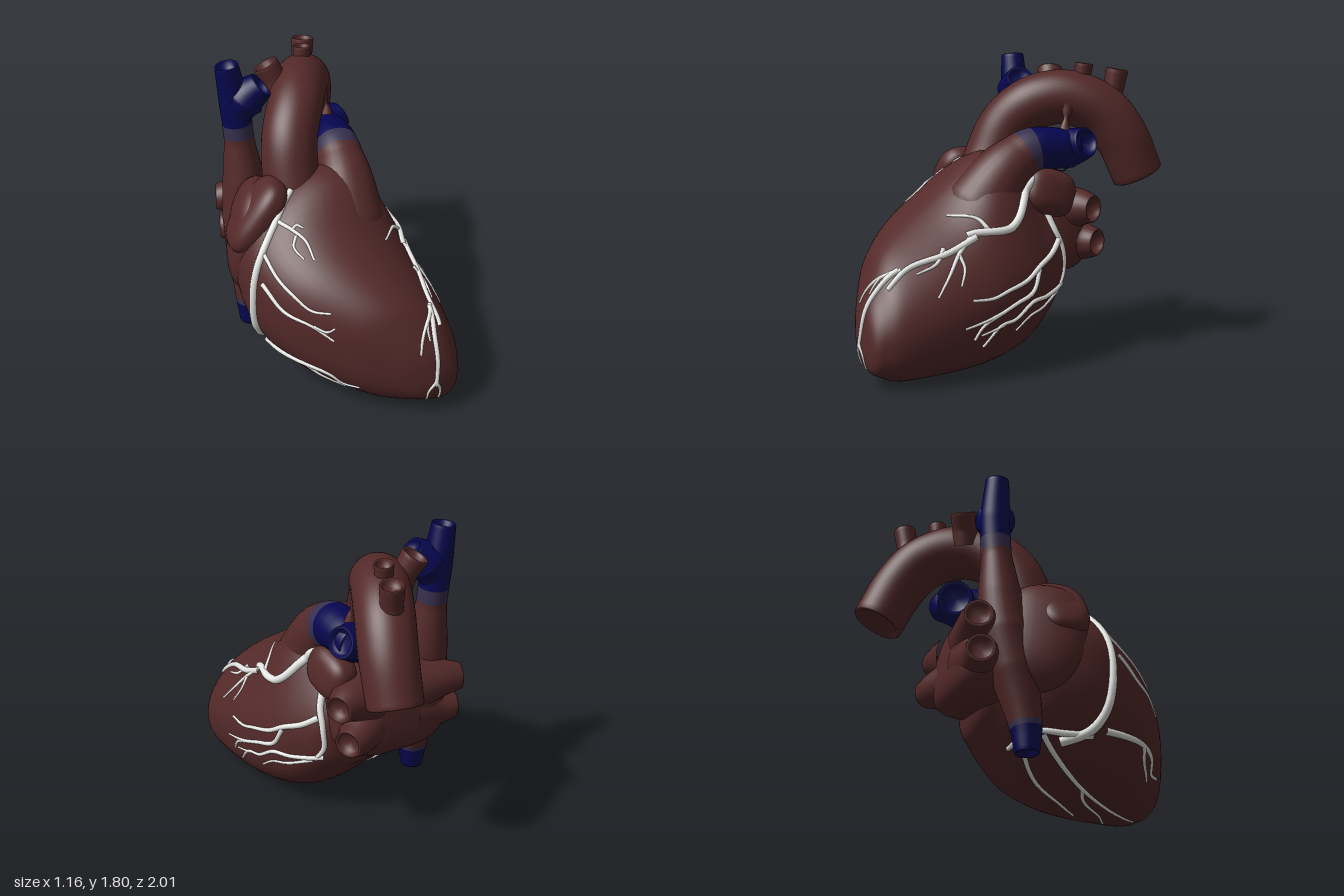
import * as THREE from 'three';

const V = (x, y, z) => new THREE.Vector3(x, y, z);
const mat = (name, color) => {
  const m = new THREE.MeshStandardMaterial({ color });
  m.name = name;
  return m;
};

// Skins a stack of closed rings, each counterclockwise around the stacking direction.
function skin(rings) {
  const n = rings[0].length, index = [];
  for (let i = 0; i < rings.length - 1; i++)
    for (let j = 0; j < n; j++) {
      const k = (j + 1) % n, a = i * n + j, b = i * n + k, c = a + n, d = b + n;
      index.push(a, b, c, b, d, c);
    }
  const g = new THREE.BufferGeometry().setFromPoints(rings.flat());
  g.setIndex(index);
  g.computeVertexNormals();
  return g;
}

// Tapered tube along a smooth path; t0..t1 picks a stretch, open ends (s, e) get a rim and a recess.
function vessel(pts, radii, { t0 = 0, t1 = 1, open = '', depth = 0.035, n = 40, sides = 28 } = {}) {
  const curve = new THREE.CatmullRomCurve3(pts.map(p => (p.isVector3 ? p : V(...p))));
  const frames = curve.computeFrenetFrames(n, false);
  const ring = (i, scale = 1, shift = 0) => {
    const f = (i / n) * (radii.length - 1), k = Math.min(Math.floor(f), radii.length - 2);
    const r = scale * THREE.MathUtils.lerp(radii[k], radii[k + 1], f - k);
    const c = curve.getPointAt(i / n).addScaledVector(frames.tangents[i], shift);
    return Array.from({ length: sides }, (_, j) => {
      const a = (j / sides) * Math.PI * 2;
      return c.clone().addScaledVector(frames.normals[i], r * Math.cos(a))
        .addScaledVector(frames.binormals[i], r * Math.sin(a));
    });
  };
  const i0 = Math.round(t0 * n), i1 = Math.round(t1 * n), rings = [];
  if (open.includes('s')) rings.push(ring(i0, 0, depth), ring(i0, 0.72, depth), ring(i0, 0.8), ring(i0, 0.95, -0.008));
  for (let i = i0; i <= i1; i++) rings.push(ring(i));
  if (open.includes('e')) rings.push(ring(i1, 0.95, 0.008), ring(i1, 0.8), ring(i1, 0.72, -depth), ring(i1, 0, -depth));
  return skin(rings);
}

// Rounded lump; power below 1 makes it boxier.
function blob(rx, ry, rz, power = 1) {
  const p = v => Math.sign(v) * Math.abs(v) ** power, rings = [];
  for (let i = 0; i <= 24; i++) {
    const u = (i / 24) * Math.PI - Math.PI / 2;
    rings.push(Array.from({ length: 36 }, (_, j) => {
      const a = (j / 36) * Math.PI * 2;
      return V(rx * p(Math.cos(u)) * p(Math.cos(a)), ry * p(Math.cos(u)) * p(Math.sin(a)), rz * p(Math.sin(u)));
    }));
  }
  return skin(rings);
}

// Ventricles: tilted ovals stacked from back to apex, full below and swelling up towards the outflow.
function ventricles() {
  const rows = [ // z, xMin, xMax, yMin, yMax
    [-0.36, 0, 0.01, 0.66, 0.67], [-0.33, -0.25, 0.27, 0.42, 0.93], [-0.25, -0.37, 0.38, 0.32, 1.0],
    [-0.13, -0.47, 0.45, 0.19, 1.06], [0, -0.53, 0.51, 0.1, 1.09], [0.2, -0.55, 0.56, 0.04, 1.06],
    [0.4, -0.49, 0.575, 0.015, 0.97], [0.6, -0.36, 0.57, 0.01, 0.86], [0.8, -0.14, 0.545, 0.02, 0.71],
    [0.9, 0.03, 0.51, 0.055, 0.56], [0.97, 0.19, 0.46, 0.1, 0.41], [1, 0.32, 0.33, 0.22, 0.23]];
  const xs = new THREE.CatmullRomCurve3(rows.map(r => V(r[1], r[2], r[0])), false, 'catmullrom');
  const ys = new THREE.CatmullRomCurve3(rows.map(r => V(r[3], r[4], 0)), false, 'catmullrom');
  const rings = [];
  for (let i = 0; i <= 55; i++) {
    const x = xs.getPoint(i / 55), y = ys.getPoint(i / 55);
    const rx = (x.y - x.x) / 2, ry = (y.y - y.x) / 2.06;
    const swell = 0.15 * Math.exp(-(((x.z - 0.08) / 0.26) ** 2));
    rings.push(Array.from({ length: 56 }, (_, j) => {
      const a = (j / 56) * Math.PI * 2, full = Math.sin(a) < 0 || Math.cos(a) < 0 ? 0.85 : 1;
      const c = Math.sign(Math.cos(a)) * Math.abs(Math.cos(a)) ** full;
      const s = Math.sign(Math.sin(a)) * Math.abs(Math.sin(a)) ** full;
      const top = Math.max(0, s) ** 4 * swell;
      return V((x.x + x.y) / 2 + rx * c + top * 0.9, (y.x + y.y) / 2 + ry * (s - (c > 0 ? 0.28 : 0.16) * c) + top, x.z);
    }));
  }
  return skin(rings);
}

export function createModel() {
  const heart = new THREE.Group();
  heart.name = 'heart';
  const muscle = mat('muscle brown', 0x542929), blue = mat('vein blue', 0x060650);
  const band = mat('band violet', 0x38304f), white = mat('artery white', 0xe6e6e4);
  const add = (name, geo, material, pos = [0, 0, 0], rot = [0, 0, 0]) => {
    const m = new THREE.Mesh(geo, material);
    m.name = name;
    m.position.set(...pos);
    m.rotation.set(...rot);
    heart.add(m);
    return m;
  };

  // Pumping chambers, running on into the pulmonary trunk
  const body = add('ventricles', ventricles(), muscle);
  const trunk = [[0.08, 0.6, 0.3], [0.13, 0.93, 0.13], [0.17, 1.13, -0.01], [0.19, 1.22, -0.14],
    [0.21, 1.235, -0.28], [0.22, 1.225, -0.42]];
  const trunkR = [0.2, 0.23, 0.23, 0.19, 0.145, 0.13, 0.11];
  const outflow = add('pulmonaryOutflow', vessel(trunk, trunkR, { t1: 0.7, n: 100 }), muscle);
  add('pulmonaryBand', vessel(trunk, trunkR, { t0: 0.7, t1: 0.76, n: 100 }), band);
  add('pulmonaryTrunk', vessel(trunk, trunkR, { t0: 0.76, open: 'e', n: 100 }), blue);
  add('leftPulmonaryBranch', vessel([[0.19, 1.22, -0.35], [0.26, 1.25, -0.42], [0.335, 1.275, -0.44]],
    [0.12, 0.11, 0.09], { open: 'e' }), blue);
  add('rightPulmonaryBranch', vessel([[0.22, 1.22, -0.36], [0.1, 1.2, -0.42], [-0.02, 1.165, -0.47]],
    [0.12, 0.115, 0.105], { open: 'e' }), blue);

  // Atria and their ear-shaped lobes
  add('rightAtrium', blob(0.16, 0.36, 0.27, 0.85), muscle, [-0.38, 0.8, -0.07], [0.1, -0.35, -0.1]);
  add('rightAuricle', blob(0.1, 0.25, 0.16, 0.75), muscle, [-0.4, 1.0, 0.04], [0, -0.1, -0.62]);
  add('leftAtrium', blob(0.37, 0.28, 0.2, 0.6), muscle, [-0.05, 0.73, -0.33], [0.12, 0, 0.06]);
  add('leftAuricle', blob(0.1, 0.14, 0.17, 0.75), muscle, [0.26, 0.98, -0.23], [-0.25, 0, 0.2]);

  // Lung veins, broad where they leave the atrium
  for (const [x, y, z] of [[0.37, 0.88, -0.47], [0.34, 0.67, -0.52], [-0.47, 0.85, -0.48], [-0.46, 0.65, -0.46]])
    add('lungVein', vessel([[x * 0.4, y * 0.8 + 0.15, -0.38], [x * 0.75, y, z + 0.04], [x, y, z]],
      [0.17, 0.125, 0.083], { open: 'e', n: 20 }), muscle);

  // Aorta with three branches and the small ligament below
  add('aorta', vessel([[-0.11, 0.85, 0.05], [-0.14, 1.15, -0.06], [-0.11, 1.36, -0.15], [-0.02, 1.49, -0.28],
    [0.08, 1.53, -0.45], [0.18, 1.455, -0.63], [0.24, 1.3, -0.75], [0.27, 1.06, -0.86]],
  [0.17, 0.17, 0.165, 0.165, 0.165, 0.162, 0.155], { open: 'e', depth: 0.015, n: 60, sides: 40 }), muscle);
  for (const [x0, y0, z0, x1, y1, z1, r] of [
    [-0.05, 1.52, -0.42, -0.13, 1.685, -0.47, 0.08], [0.12, 1.55, -0.53, 0.135, 1.725, -0.55, 0.055],
    [0.19, 1.45, -0.7, 0.215, 1.69, -0.735, 0.068]])
    add('archBranch', vessel([[x0, y0, z0], [x1, y1, z1]], [r * 1.15, r * 0.92, r], { open: 'e', n: 12 }), muscle);
  add('ligament', vessel([[0.22, 1.33, -0.36], [0.22, 1.4, -0.37], [0.19, 1.48, -0.4]], [0.04, 0.012, 0.05],
    { n: 12, sides: 12 }), muscle);

  // Great veins: one run from the top, past the atrium, to the bottom
  const cava = [[-0.41, 1.775, -0.36], [-0.37, 1.5, -0.355], [-0.355, 1.2, -0.33], [-0.35, 0.8, -0.28],
    [-0.37, 0.45, -0.2], [-0.385, 0.25, -0.165], [-0.39, 0.11, -0.16]];
  const cavaR = [0.07, 0.09, 0.09, 0.125, 0.15, 0.14, 0.105, 0.07];
  for (const [name, t0, t1, m, open] of [['upperVein', 0, 0.22, blue, 's'], ['upperBand', 0.22, 0.27, band, ''],
    ['veinTrunk', 0.27, 0.9, muscle, ''], ['lowerBand', 0.9, 0.92, band, ''], ['lowerVein', 0.92, 1, blue, 'e']])
    add(name, vessel(cava, cavaR, { t0, t1, open, n: 100 }), m);
  add('upperVeinBranch', vessel([[-0.365, 1.45, -0.355], [-0.315, 1.56, -0.335], [-0.225, 1.64, -0.31]],
    [0.08, 0.12, 0.085], { open: 'e' }), blue);

  // Coronary arteries: paths laid on the muscle by casting from the front (f), side (s), below (b) or inward (r)
  const ray = new THREE.Raycaster();
  const cast = {
    f: p => [V(p.x, p.y, 3), V(0, 0, -1)],
    s: p => [V(3, p.y, p.x), V(-1, 0, 0)],
    b: p => [V(p.x, -3, p.y), V(0, 1, 0)],
    r: p => {
      const d = V(p.x - 0.1, p.y - 0.5 + 0.2 * Math.max(0, p.z), 0).normalize();
      return [p.clone().addScaledVector(d, 2), d.negate()];
    },
  };
  heart.updateMatrixWorld(true);
  function artery(view, r0, r1, ...pts) {
    const flat = new THREE.CatmullRomCurve3(pts.map(p => V(p[0], p[1], p[2] ?? 0)));
    const path = [];
    for (const p of flat.getSpacedPoints(pts.length * 4)) {
      ray.set(...cast[view](p));
      const hit = ray.intersectObjects([body, outflow])[0];
      if (hit) path.push(hit.point);
    }
    if (path.length > 2)
      add('coronaryArtery', vessel(path, [r0, r1], { n: pts.length * 8, sides: 10 }), white);
  }
  // Front descending artery
  artery('s', 0.028, 0.022, [-0.15, 1.09], [-0.08, 1.05], [-0.02, 0.97], [0.05, 0.87], [0.12, 0.82], [0.33, 0.805], [0.38, 0.79]);
  artery('r', 0.022, 0.015, [0.44, 0.81, 0.33], [0.44, 0.73, 0.51], [0.38, 0.64, 0.72], [0.345, 0.5, 0.86]);
  artery('f', 0.018, 0.012, [0.36, 0.63], [0.335, 0.5], [0.33, 0.35], [0.32, 0.22]);
  artery('f', 0.011, 0.006, [0.32, 0.25], [0.28, 0.18], [0.28, 0.11]);
  artery('f', 0.011, 0.006, [0.32, 0.24], [0.35, 0.18], [0.355, 0.1]);
  artery('f', 0.015, 0.007, [0.37, 0.63], [0.29, 0.57], [0.25, 0.51], [0.23, 0.44]);
  artery('f', 0.009, 0.006, [0.31, 0.59], [0.3, 0.55], [0.3, 0.5]);
  artery('s', 0.014, 0.006, [0.25, 0.81], [0.3, 0.88], [0.43, 0.89]);
  artery('s', 0.017, 0.006, [0.33, 0.81], [0.45, 0.7], [0.53, 0.6], [0.62, 0.49]);
  artery('s', 0.011, 0.006, [0.45, 0.7], [0.44, 0.63], [0.48, 0.54]);
  artery('s', 0.014, 0.006, [0.52, 0.73], [0.58, 0.66], [0.7, 0.61]);
  // Left side artery and its forks
  artery('s', 0.027, 0.013, [-0.17, 0.95], [-0.22, 0.78], [-0.27, 0.66], [-0.28, 0.52], [-0.23, 0.43]);
  artery('s', 0.02, 0.008, [-0.24, 0.71], [-0.15, 0.64], [-0.04, 0.59], [0.06, 0.53], [0.2, 0.49], [0.3, 0.46], [0.43, 0.46]);
  artery('s', 0.016, 0.008, [-0.04, 0.58], [0.02, 0.46], [0.15, 0.41], [0.25, 0.37], [0.37, 0.31], [0.42, 0.24]);
  artery('s', 0.016, 0.008, [-0.27, 0.45], [-0.1, 0.41], [0.02, 0.4], [0.15, 0.32], [0.25, 0.3], [0.36, 0.19]);
  artery('s', 0.012, 0.006, [-0.22, 0.42], [-0.07, 0.35], [0.04, 0.32], [0.14, 0.25]);
  artery('s', 0.012, 0.006, [0.22, 0.38], [0.35, 0.34], [0.48, 0.31]);
  artery('s', 0.009, 0.006, [0.23, 0.3], [0.3, 0.28], [0.38, 0.26]);
  // Right artery and its forks
  artery('r', 0.02, 0.03, [-0.18, 1.1, 0.1], [-0.33, 1.04, 0.2], [-0.44, 0.9, 0.27], [-0.5, 0.74, 0.3],
    [-0.52, 0.56, 0.3], [-0.49, 0.38, 0.27], [-0.44, 0.27, 0.2], [-0.37, 0.2, 0.06]);
  artery('f', 0.013, 0.007, [-0.33, 1.04], [-0.28, 1.02], [-0.23, 0.98], [-0.22, 0.91]);
  artery('f', 0.01, 0.006, [-0.27, 1.0], [-0.3, 0.95], [-0.27, 0.91]);
  artery('f', 0.01, 0.006, [-0.28, 1.02], [-0.25, 1.04], [-0.22, 1.03]);
  artery('f', 0.013, 0.007, [-0.45, 0.89], [-0.42, 0.8], [-0.36, 0.73], [-0.3, 0.68], [-0.21, 0.68]);
  artery('f', 0.015, 0.007, [-0.49, 0.74], [-0.42, 0.63], [-0.31, 0.59], [-0.21, 0.52]);
  artery('f', 0.009, 0.006, [-0.3, 0.59], [-0.24, 0.57], [-0.2, 0.6]);
  artery('f', 0.022, 0.008, [-0.44, 0.28], [-0.32, 0.28], [-0.22, 0.25], [-0.14, 0.18], [-0.07, 0.18]);
  artery('f', 0.014, 0.007, [-0.32, 0.28], [-0.25, 0.21], [-0.18, 0.17], [-0.12, 0.14]);
  // Underside artery
  artery('b', 0.024, 0.013, [-0.42, 0.22], [-0.39, 0.08], [-0.33, -0.06], [-0.2, -0.13], [-0.08, -0.15]);
  artery('b', 0.017, 0.007, [-0.33, -0.04], [-0.2, 0.15], [-0.05, 0.35], [0.12, 0.58], [0.28, 0.82]);
  artery('b', 0.016, 0.007, [-0.2, -0.12], [0, 0.05], [0.12, 0.25], [0.24, 0.4]);
  artery('b', 0.011, 0.006, [-0.08, 0.31], [0.05, 0.38], [0.2, 0.55], [0.33, 0.64]);
  return heart;
}
